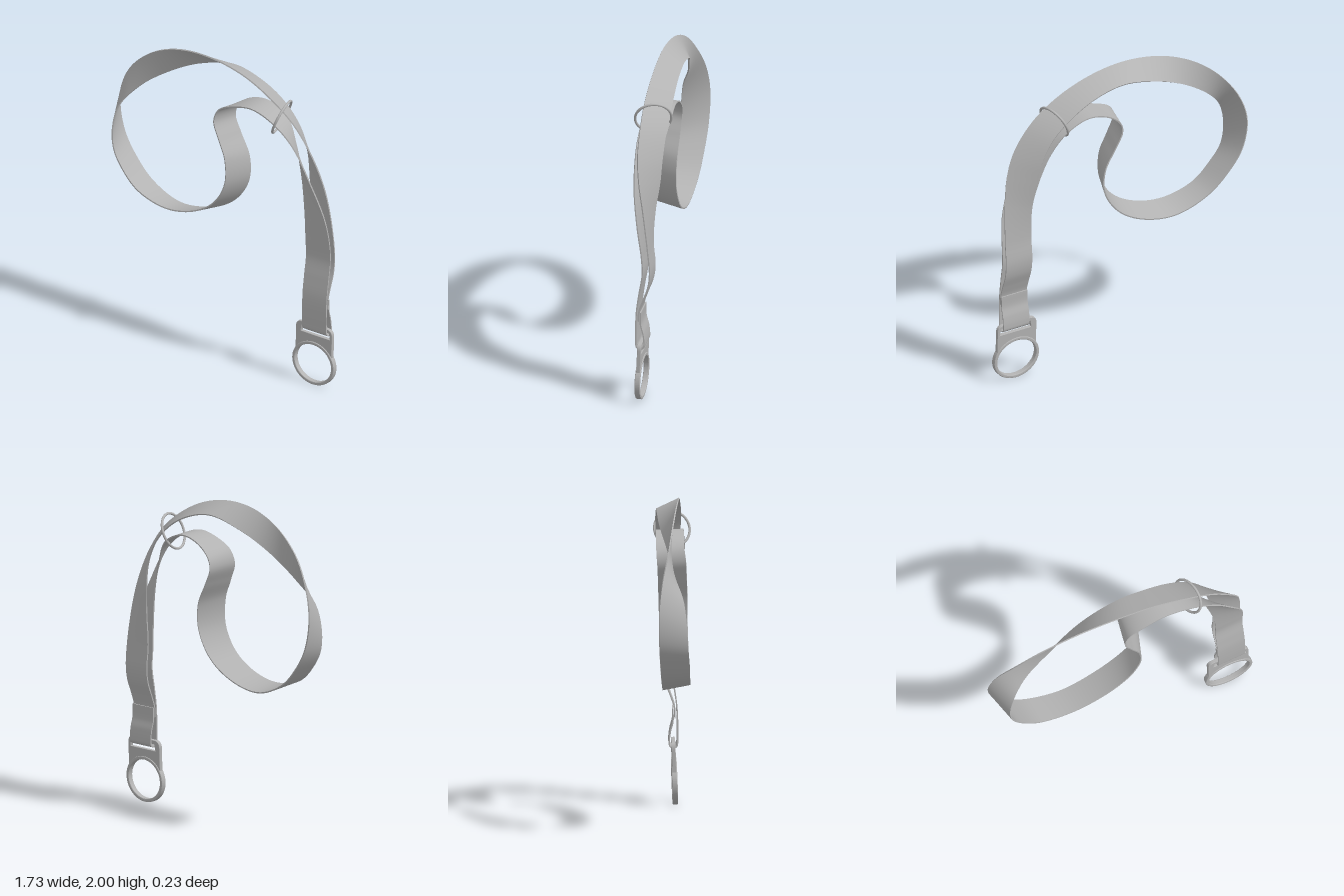
import * as THREE from 'three';

const grey = new THREE.MeshStandardMaterial({ color: 0xb3b3b3 });
grey.name = 'grey';

const X0 = 0.625, X1 = 0.807; // strap sides where it hangs flat

// flat station of the strap: [edge P xyz, edge Q xyz]
const flat = (pOnRight) => ([y, z]) =>
  pOnRight ? [X1, y, z, X0, y, z] : [X0, y, z, X1, y, z];

// Sweeps a thin rectangle between two edge curves, with sharp edges
function ribbon(stations, thickness, steps) {
  const curve = (o) => new THREE.CatmullRomCurve3(
    stations.map((s) => new THREE.Vector3(s[o], s[o + 1], s[o + 2])));
  const p = curve(0), q = curve(3);
  const n = (stations.length - 1) * steps;
  const rings = [];
  for (let i = 0; i <= n; i++) {
    const t = i / n;
    const a = p.getPoint(t), b = q.getPoint(t);
    const along = p.getTangent(t).add(q.getTangent(t));
    const off = along.cross(b.clone().sub(a)).setLength(thickness / 2);
    rings.push([a.clone().add(off), b.clone().add(off), b.clone().sub(off), a.clone().sub(off)]);
  }
  const pos = [], idx = [];
  for (let side = 0; side < 4; side++) {
    const base = pos.length / 3;
    rings.forEach((r) => pos.push(...r[side].toArray(), ...r[(side + 1) % 4].toArray()));
    for (let i = 0; i < n; i++) {
      const k = base + i * 2;
      idx.push(k, k + 2, k + 1, k + 1, k + 2, k + 3);
    }
  }
  // end caps
  [rings[0], rings[n].slice().reverse()].forEach((r) => {
    const k = pos.length / 3;
    r.forEach((v) => pos.push(...v.toArray()));
    idx.push(k, k + 1, k + 2, k, k + 2, k + 3);
  });
  const g = new THREE.BufferGeometry();
  g.setAttribute('position', new THREE.Float32BufferAttribute(pos, 3));
  g.setIndex(idx);
  g.computeVertexNormals();
  return g;
}

function strapGeometry() {
  // rear strand, from its sewn end upwards
  const rearFlat = [[0.54, 0.024], [0.6, 0.022], [0.67, 0], [0.76, -0.033], [0.85, -0.045], [1.0, -0.033]];
  // over the top and down the far left
  const outer = [
    [0.79, 1.25, 0, 0.625, 1.2, -0.045],
    [0.76, 1.42, 0.03, 0.6, 1.38, -0.07],
    [0.70, 1.57, 0.05, 0.575, 1.52, -0.08],
    [0.58, 1.73, 0.055, 0.5, 1.67, -0.09],
    [0.42, 1.85, 0.055, 0.36, 1.8, -0.1],
    [0.2, 1.95, 0.045, 0.19, 1.885, -0.1],
    [-0.05, 1.995, 0.035, 0, 1.92, -0.1],
    [-0.3, 1.975, 0.015, -0.25, 1.86, -0.085],
    [-0.52, 1.89, -0.01, -0.48, 1.74, -0.04],
    [-0.7, 1.75, -0.04, -0.66, 1.6, 0],
    [-0.82, 1.58, -0.08, -0.76, 1.47, 0.05],
    [-0.865, 1.41, -0.098, -0.795, 1.32, 0.07],
    [-0.83, 1.22, -0.098, -0.78, 1.18, 0.08],
  ];
  // along the bottom of the loop, through the S-bend and back to the front
  const inner = [
    [-0.74, 1.08, -0.09, -0.71, 1.07, 0.09],
    [-0.6, 0.95, -0.08, -0.59, 0.96, 0.095],
    [-0.38, 0.87, -0.07, -0.38, 0.905, 0.1],
    [-0.15, 0.91, -0.075, -0.17, 0.945, 0.1],
    [0.03, 1.02, -0.08, -0.01, 1.05, 0.095],
    [0.13, 1.18, -0.08, 0.07, 1.2, 0.09],
    [0.13, 1.34, -0.085, 0.07, 1.37, 0.09],
    [0.06, 1.48, -0.09, 0.02, 1.49, 0.085],
    [0.015, 1.58, -0.095, -0.02, 1.6, 0.08],
    [0.03, 1.65, -0.1, 0.01, 1.68, 0.07],
    [0.12, 1.725, -0.1, 0.11, 1.73, 0.07],
    [0.26, 1.755, -0.1, 0.26, 1.76, 0.07],
    [0.41, 1.69, -0.095, 0.43, 1.71, 0.075],
    [0.5, 1.55, -0.06, 0.58, 1.6, 0.08],
    [0.57, 1.35, -0.03, 0.71, 1.38, 0.07],
    [0.615, 1.12, 0, 0.79, 1.15, 0.035],
  ];
  // front strand, wrapped through the slot and sewn up behind
  const frontFlat = [[0.97, 0.006], [0.85, 0], [0.72, 0.02], [0.6, 0.036], [0.42, 0.04],
    [0.37, 0.035], [0.357, 0.013], [0.37, -0.008], [0.4, -0.011], [0.46, -0.004], [0.52, 0.011], [0.6, 0.011]];
  return ribbon([...rearFlat.map(flat(true)), ...outer, ...inner, ...frontFlat.map(flat(false))], 0.008, 8);
}

const ellipse = (shape, y, rx, ry) => shape.absellipse(0, y, rx, ry, 0, Math.PI * 2, false, 0);

function extrude(shape, depth, bevel) {
  const g = new THREE.ExtrudeGeometry(shape, {
    depth: depth - 2 * bevel, curveSegments: 40, bevelThickness: bevel,
    bevelSize: bevel, bevelOffset: -bevel, bevelSegments: 2,
  });
  return g.translate(0, 0, -depth / 2 + bevel);
}

export function createModel() {
  const model = new THREE.Group();
  const add = (parent, name, geometry) => {
    const m = new THREE.Mesh(geometry, grey);
    m.name = name;
    parent.add(m);
    return m;
  };

  add(model, 'strap', strapGeometry());

  // tag: rounded plate with a strap slot above a large oval opening
  const tag = new THREE.Group();
  tag.name = 'tag';
  const W = 0.137, CY = 0.145, RX = 0.157, RY = 0.142, top = 0.402, r = 0.045;
  const a = Math.acos(W / RX);
  const plate = new THREE.Shape();
  plate.moveTo(W, CY + RY * Math.sin(a));
  plate.lineTo(W, top - r);
  plate.quadraticCurveTo(W, top, W - r, top);
  plate.lineTo(-W + r, top);
  plate.quadraticCurveTo(-W, top, -W, top - r);
  plate.lineTo(-W, CY + RY * Math.sin(a));
  plate.absellipse(0, CY, RX, RY, Math.PI - a, Math.PI * 2 + a, false, 0);
  const opening = new THREE.Path();
  ellipse(opening, CY, 0.14, 0.125);
  const slot = new THREE.Path();
  slot.moveTo(-0.1, 0.336);
  slot.lineTo(0.12, 0.336);
  slot.lineTo(0.112, 0.377);
  slot.lineTo(-0.092, 0.377);
  slot.closePath();
  plate.holes.push(opening, slot);
  add(tag, 'tagPlate', extrude(plate, 0.024, 0.003));

  // raised rim around the opening
  const rim = new THREE.Shape();
  ellipse(rim, CY, 0.158, 0.143);
  const rimHole = new THREE.Path();
  ellipse(rimHole, CY, 0.137, 0.122);
  rim.holes.push(rimHole);
  add(tag, 'tagRim', extrude(rim, 0.034, 0.005));
  tag.position.set(0.702, 0, 0.027);
  tag.rotation.x = -0.035;
  model.add(tag);

  // loose ring gathering the two strands
  const ring = add(model, 'ring', new THREE.TorusGeometry(0.111, 0.008, 12, 64));
  const up = new THREE.Vector3(0.42, 1, 0).normalize();
  const axis = new THREE.Vector3(0.25, 0, 1).cross(up).normalize();
  ring.quaternion.setFromRotationMatrix(
    new THREE.Matrix4().makeBasis(up.clone().cross(axis), up, axis));
  ring.position.set(0.44, 1.738, 0.002);

  return model;
}
